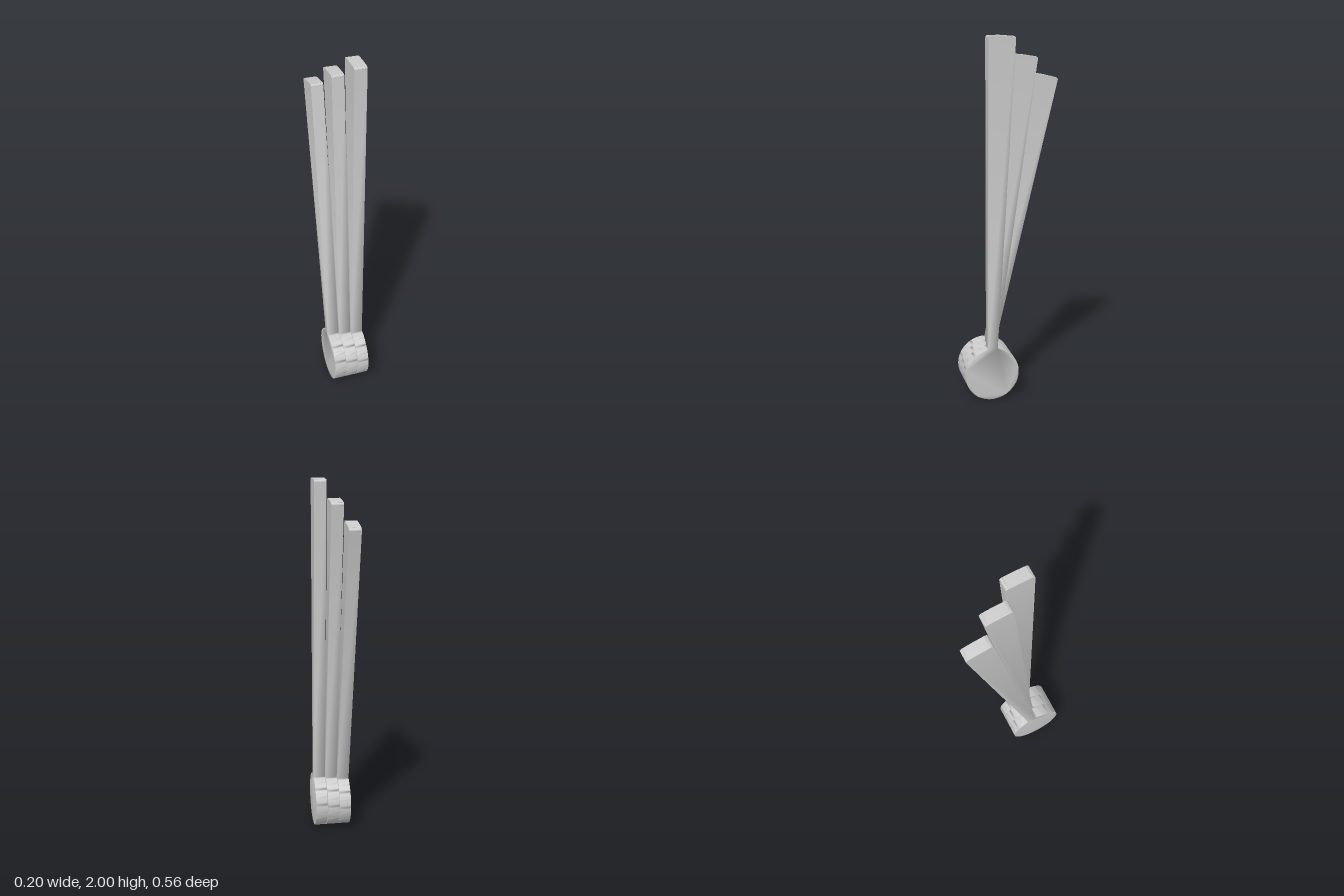
import * as THREE from 'three';
import { mergeVertices } from 'three/addons/utils/BufferGeometryUtils.js';

const R = 0.1525;      // hub radius
const BASE = 0.026;    // half width of the arm where it leaves the hub
const TIP = 0.073;     // half width of the arm at its end
const ROUND = 0.016;   // rounding of the end corners

// Side outline: round hub at the origin with a widening arm going up
function leverShape(length) {
  const a = Math.acos(BASE / R);
  const s = new THREE.Shape();
  s.absarc(0, 0, R, Math.PI - a, 2 * Math.PI + a, false);
  s.lineTo(TIP, length - ROUND);
  s.quadraticCurveTo(TIP, length - 0.004, TIP - ROUND, length - 0.002);
  s.lineTo(0, length);
  s.lineTo(-TIP + ROUND, length - 0.002);
  s.quadraticCurveTo(-TIP, length - 0.004, -TIP, length - ROUND);
  s.closePath();
  return s;
}

function lever(name, x, length, tilt, material) {
  const depth = 0.065;
  let g = new THREE.ExtrudeGeometry(leverShape(length), { depth, bevelEnabled: false, curveSegments: 40 });
  g.translate(0, 0, -depth / 2);
  g.rotateY(-Math.PI / 2);
  // Shared vertices give the soft shading over the edges
  g.deleteAttribute('normal');
  g.deleteAttribute('uv');
  g = mergeVertices(g, 1e-4);
  g.computeVertexNormals();
  const mesh = new THREE.Mesh(g, material);
  mesh.name = name;
  mesh.position.set(x, R, 0.1325);
  mesh.rotation.x = -THREE.MathUtils.degToRad(tilt);
  return mesh;
}

export function createModel() {
  const group = new THREE.Group();
  group.name = 'leverSet';
  const material = new THREE.MeshStandardMaterial({ color: 0xcccccc });
  // Three levers fanned back about a common pivot
  group.add(
    lever('longLever', 0.0675, 1.848, 1.9, material),
    lever('middleLever', -0.001, 1.757, 6.6, material),
    lever('shortLever', -0.0685, 1.67, 11.7, material)
  );
  return group;
}
